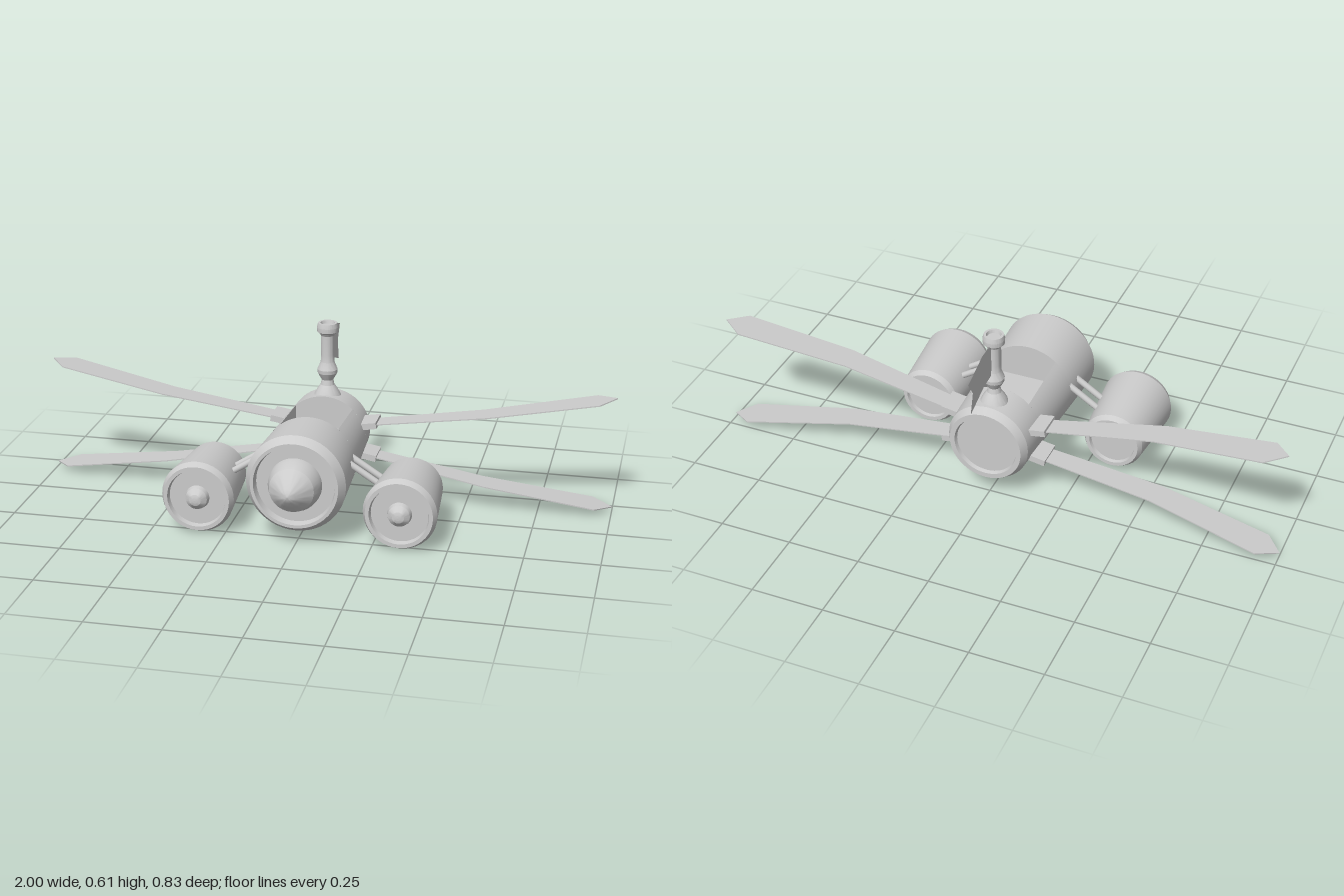
import * as THREE from 'three';
import { toCreasedNormals } from 'three/addons/utils/BufferGeometryUtils.js';

const BODY_Y = 0.217, WELL_X = 0.1, WELL_FRONT = 0.09, WELL_BACK = -0.15, WELL_FLOOR = 0.033;

const solid = new THREE.MeshStandardMaterial({ color: 0xcccccc });
const thin = new THREE.MeshStandardMaterial({ color: 0xcccccc, side: THREE.DoubleSide });

function add(parent, name, geometry, material = solid) {
  const mesh = new THREE.Mesh(geometry, material);
  mesh.name = name;
  parent.add(mesh);
  return mesh;
}

// Turned part: profile of [radius, height] pairs, bottom to top
function turned(profile, sides = 48) {
  const points = profile.map(([r, h]) => new THREE.Vector2(r, h));
  return toCreasedNormals(new THREE.LatheGeometry(points, sides), 0.35);
}
const turnedAlongZ = (profile, sides) => turned(profile, sides).rotateX(Math.PI / 2);

// Plane whose vertices are placed by a rule (u, v) -> [x, y, z]
function surface(rule, nu, nv) {
  const g = new THREE.PlaneGeometry(1, 1, nu, nv);
  const p = g.attributes.position;
  for (let i = 0; i < p.count; i++) p.setXYZ(i, ...rule(p.getX(i) + 0.5, p.getY(i) + 0.5));
  g.computeVertexNormals();
  return g;
}

const polygon = (pts) => new THREE.Shape(pts.map(([a, b]) => new THREE.Vector2(a, b)));
const hullRadius = (z) => 0.142 + (0.026 * (z + 0.26)) / 0.55;

function createBody() {
  const body = new THREE.Group();
  body.name = 'body';
  body.position.y = BODY_Y;

  // Hull in three lengths; the middle one is open above the cockpit
  add(body, 'rearHull', turnedAlongZ([
    [0, -0.275], [0.106, -0.275], [0.11, -0.288], [0.127, -0.288],
    [0.142, -0.26], [hullRadius(WELL_BACK), WELL_BACK],
  ]));
  add(body, 'middleHull', surface((u, v) => {
    const z = WELL_BACK + (WELL_FRONT - WELL_BACK) * v;
    const r = hullRadius(z);
    const start = Math.asin(WELL_X / r);
    const a = start + u * (2 * Math.PI - 2 * start);
    return [-r * Math.sin(a), r * Math.cos(a), z];
  }, 48, 2), thin);
  add(body, 'frontHull', turnedAlongZ([
    [hullRadius(WELL_FRONT), WELL_FRONT], [0.168, 0.29], [0.148, 0.32],
    [0.137, 0.32], [0.132, 0.295], [0.08, 0.295],
  ]));
  add(body, 'noseCone', turnedAlongZ([
    [0.09, 0.29], [0.087, 0.32], [0.075, 0.354], [0.05, 0.38],
    [0.024, 0.405], [0.012, 0.412], [0, 0.415],
  ]));

  // Cockpit well
  const length = WELL_FRONT - WELL_BACK;
  const floor = add(body, 'cockpitFloor',
    new THREE.PlaneGeometry(2 * WELL_X, length).rotateX(-Math.PI / 2), thin);
  floor.position.set(0, WELL_FLOOR, (WELL_FRONT + WELL_BACK) / 2);
  for (const z of [WELL_BACK, WELL_FRONT]) {
    const r = hullRadius(z), a = Math.acos(WELL_X / r);
    const wall = new THREE.Shape();
    wall.moveTo(-WELL_X, WELL_FLOOR);
    wall.lineTo(WELL_X, WELL_FLOOR);
    wall.absarc(0, 0, r, a, Math.PI - a, false);
    add(body, 'cockpitEndWall', new THREE.ShapeGeometry(wall, 16), thin).position.z = z;
  }
  for (const side of [-1, 1]) {
    add(body, 'cockpitSideWall', surface((u, v) => {
      const z = WELL_BACK + length * u;
      const top = Math.sqrt(hullRadius(z) ** 2 - WELL_X ** 2);
      return [side * WELL_X, WELL_FLOOR + (top - WELL_FLOOR) * v, z];
    }, 2, 1), thin);
  }
  return body;
}

function createEngine(side) {
  const engine = new THREE.Group();
  engine.name = 'engine';
  engine.position.set(side * 0.342, 0.128, 0);
  add(engine, 'engineShell', turnedAlongZ([
    [0, 0.012], [0.077, 0.012], [0.08, 0], [0.093, 0], [0.104, 0.018],
    [0.124, 0.26], [0.113, 0.283], [0.1, 0.283], [0.096, 0.265], [0, 0.265],
  ], 40));
  add(engine, 'engineNose', turnedAlongZ([
    [0.042, 0.262], [0.037, 0.282], [0.02, 0.297], [0.009, 0.301], [0, 0.302],
  ], 24));
  return engine;
}

function createStrut(side, z) {
  const from = new THREE.Vector3(side * 0.14, 0.255, z);
  const to = new THREE.Vector3(side * 0.27, 0.172, z);
  const path = new THREE.LineCurve3(from, to);
  return new THREE.TubeGeometry(path, 1, 0.011, 12);
}

// Long bent blade in its bracket; tilt +1 rises outward, -1 falls
function createWing(side, tilt) {
  const wing = new THREE.Group();
  wing.name = 'wing';
  wing.position.set(side * 0.16, tilt > 0 ? 0.273 : 0.16, 0);
  wing.rotation.z = side * tilt * 0.167;

  const stretch = 1 / Math.cos(0.167);
  const outline = [
    [0.13, -0.213], [0.55, -0.204], [0.93, -0.254], [1, -0.206],
    [0.945, -0.143], [0.57, -0.112], [0.13, -0.146],
  ].map(([x, z]) => [side * (x - 0.16) * stretch, z]);
  const blade = new THREE.ExtrudeGeometry(polygon(outline), { depth: 0.004, bevelEnabled: false });
  blade.translate(0, 0, -0.002).rotateX(Math.PI / 2);
  add(wing, 'wingBlade', blade);

  const bracket = add(wing, 'wingBracket', new THREE.BoxGeometry(0.07, 0.022, 0.094));
  bracket.position.set(-side * 0.008, 0, -0.178);
  return wing;
}

function createMast() {
  const mast = new THREE.Group();
  mast.name = 'mast';
  add(mast, 'mastPole', turned([
    [0.055, 0.335], [0.046, 0.355], [0.036, 0.375], [0.024, 0.392], [0.02, 0.41],
    [0.027, 0.422], [0.034, 0.435], [0.035, 0.448], [0.03, 0.46], [0.024, 0.475],
    [0.022, 0.5], [0.023, 0.57], [0.028, 0.578], [0.036, 0.584], [0.037, 0.6],
    [0.033, 0.615], [0.025, 0.615], [0.022, 0.605], [0, 0.605],
  ], 28)).position.z = -0.206;

  // Flag trailing behind the pole
  const flag = polygon([
    [0.225, 0.589], [0.3, 0.588], [0.413, 0.548], [0.378, 0.495],
    [0.397, 0.423], [0.29, 0.462], [0.225, 0.468],
  ]);
  add(mast, 'flag', new THREE.ShapeGeometry(flag).rotateY(Math.PI / 2), thin);
  return mast;
}

export function createModel() {
  const model = new THREE.Group();
  model.name = 'rocketFlyer';
  model.add(createBody(), createMast());
  for (const side of [-1, 1]) {
    model.add(createEngine(side));
    for (const z of [0.1, 0.155]) add(model, 'engineStrut', createStrut(side, z));
    for (const tilt of [-1, 1]) model.add(createWing(side, tilt));
  }
  return model;
}
